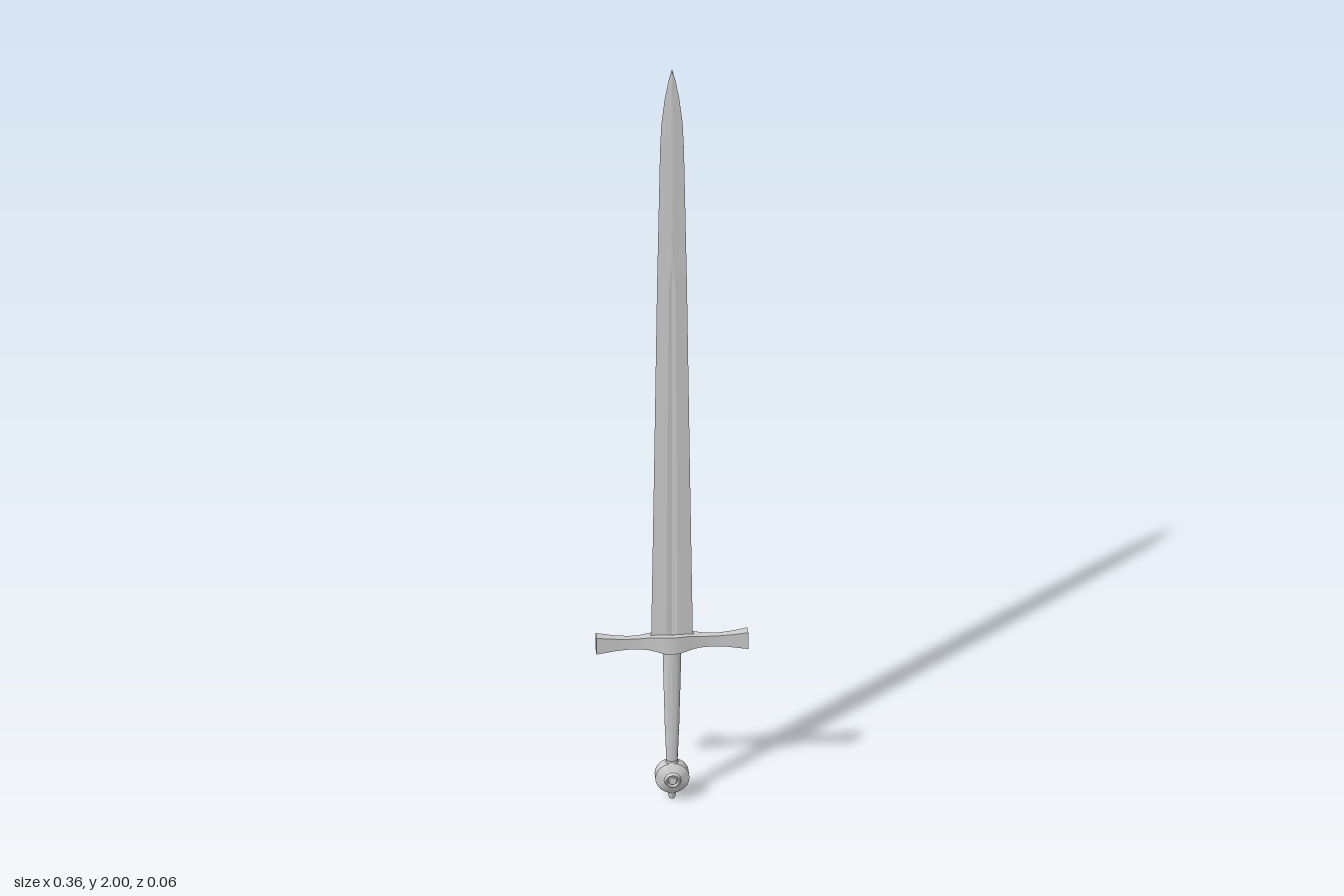
import * as THREE from 'three';
import { toCreasedNormals } from 'three/addons/utils/BufferGeometryUtils.js';

const V = (x, y, z) => new THREE.Vector3(x, y, z);

// Skins a series of equal-length rings and closes both ends
function loft(rings, crease) {
  const pos = [];
  const tri = (...pts) => pts.forEach((p) => pos.push(p.x, p.y, p.z));
  const n = rings[0].length;
  const middle = (r) => r.reduce((s, p) => s.add(p), V(0, 0, 0)).divideScalar(n);
  const first = rings[0], last = rings[rings.length - 1];
  const c0 = middle(first), c1 = middle(last);
  for (let j = 0; j < n; j++) {
    const k = (j + 1) % n;
    for (let i = 0; i < rings.length - 1; i++) {
      const a = rings[i], b = rings[i + 1];
      tri(a[j], a[k], b[k]);
      tri(a[j], b[k], b[j]);
    }
    tri(first[k], first[j], c0);
    tri(last[j], last[k], c1);
  }
  const g = new THREE.BufferGeometry();
  g.setAttribute('position', new THREE.Float32BufferAttribute(pos, 3));
  g.computeVertexNormals();
  return toCreasedNormals(g, crease);
}

export function createModel() {
  const model = new THREE.Group();
  const material = new THREE.MeshStandardMaterial({ color: 0xcccccc });
  const add = (name, geometry) => {
    const mesh = new THREE.Mesh(geometry, material);
    mesh.name = name;
    mesh.position.z = -0.002;
    model.add(mesh);
    return mesh;
  };

  // Blade: height, half width, fuller half width, ridge thickness, centre thickness
  const blade = [
    [0.43, 0.049, 0.013, 0.0045, 0.002],
    [0.9, 0.042, 0.011, 0.004, 0.002],
    [1.41, 0.035, 0.008, 0.0035, 0.002],
    [1.46, 0.034, 0.002, 0.0035, 0.0035],
    [1.78, 0.028, 0.002, 0.003, 0.003],
    [1.85, 0.025, 0.002, 0.003, 0.003],
    [1.92, 0.017, 0.0015, 0.0025, 0.0025],
    [1.97, 0.008, 0.001, 0.002, 0.002],
    [2.0, 0.0004, 0.0002, 0.0003, 0.0003],
  ].map(([y, w, f, t, c]) => [
    V(w, y, 0), V(f, y, -t), V(0, y, -c), V(-f, y, -t),
    V(-w, y, 0), V(-f, y, t), V(0, y, c), V(f, y, t),
  ]);
  add('blade', loft(blade, 0.08));

  // Crossguard half: x, bottom, top, half depth, half width of the blade slot
  const half = [
    [0, 0.405, 0.45, 0.021, 0.0065],
    [0.018, 0.405, 0.45, 0.019, 0.0055],
    [0.035, 0.409, 0.449, 0.015, 0.0035],
    [0.052, 0.413, 0.447, 0.0115, 0],
    [0.075, 0.415, 0.444, 0.0085, 0],
    [0.1, 0.415, 0.443, 0.0075, 0],
    [0.13, 0.413, 0.445, 0.0085, 0],
    [0.155, 0.41, 0.448, 0.0105, 0],
    [0.178, 0.407, 0.452, 0.012, 0],
  ];
  const mirrored = half.slice(1).reverse().map(([x, ...rest]) => [-x, ...rest]);
  const guard = [...mirrored, ...half].map(([x, lo, hi, d, s]) => {
    const floor = s > 0 ? hi - 0.012 : hi;
    return [
      V(x, hi, s), V(x, hi, d), V(x, lo, d), V(x, lo, -d),
      V(x, hi, -d), V(x, hi, -s), V(x, floor, -s), V(x, floor, s),
    ];
  });
  add('crossguard', loft(guard, 0.45));

  // Grip: tapering oval
  const grip = [
    [0.085, 0.0125, 0.011], [0.2, 0.017, 0.0125],
    [0.32, 0.02, 0.014], [0.415, 0.022, 0.0145],
  ].map(([y, rx, rz]) => Array.from({ length: 12 }, (_, i) => {
    const a = (i / 12) * Math.PI * 2;
    return V(rx * Math.cos(a), y, -rz * Math.sin(a));
  }));
  add('grip', loft(grip, 0.7));

  // Pommel: turned wheel with raised, dished hubs on both faces
  const face = [
    [0, 0.027], [0.009, 0.027], [0.011, 0.025], [0.014, 0.0295],
    [0.017, 0.0295], [0.02, 0.022], [0.024, 0.02], [0.037, 0.015], [0.04, 0.013],
  ];
  const profile = [
    ...face.map(([r, h]) => new THREE.Vector2(r, -h)),
    ...face.slice().reverse().map(([r, h]) => new THREE.Vector2(r, h)),
  ];
  const wheel = new THREE.LatheGeometry(profile, 24).rotateX(Math.PI / 2);
  const pommel = add('pommel', toCreasedNormals(wheel, 0.4));
  pommel.position.set(0, 0.061, -0.001);

  // Collar between the grip and the pommel
  const collar = new THREE.CylinderGeometry(0.014, 0.016, 0.012, 12).translate(0, 0.099, 0);
  add('collar', toCreasedNormals(collar, 0.7));

  // Peened button under the pommel
  const button = new THREE.LatheGeometry([
    [0, 0], [0.006, 0], [0.008, 0.004], [0.008, 0.013], [0.011, 0.018], [0.011, 0.026], [0, 0.026],
  ].map(([r, y]) => new THREE.Vector2(r, y)), 12);
  add('peenButton', toCreasedNormals(button, 0.6));

  return model;
}
